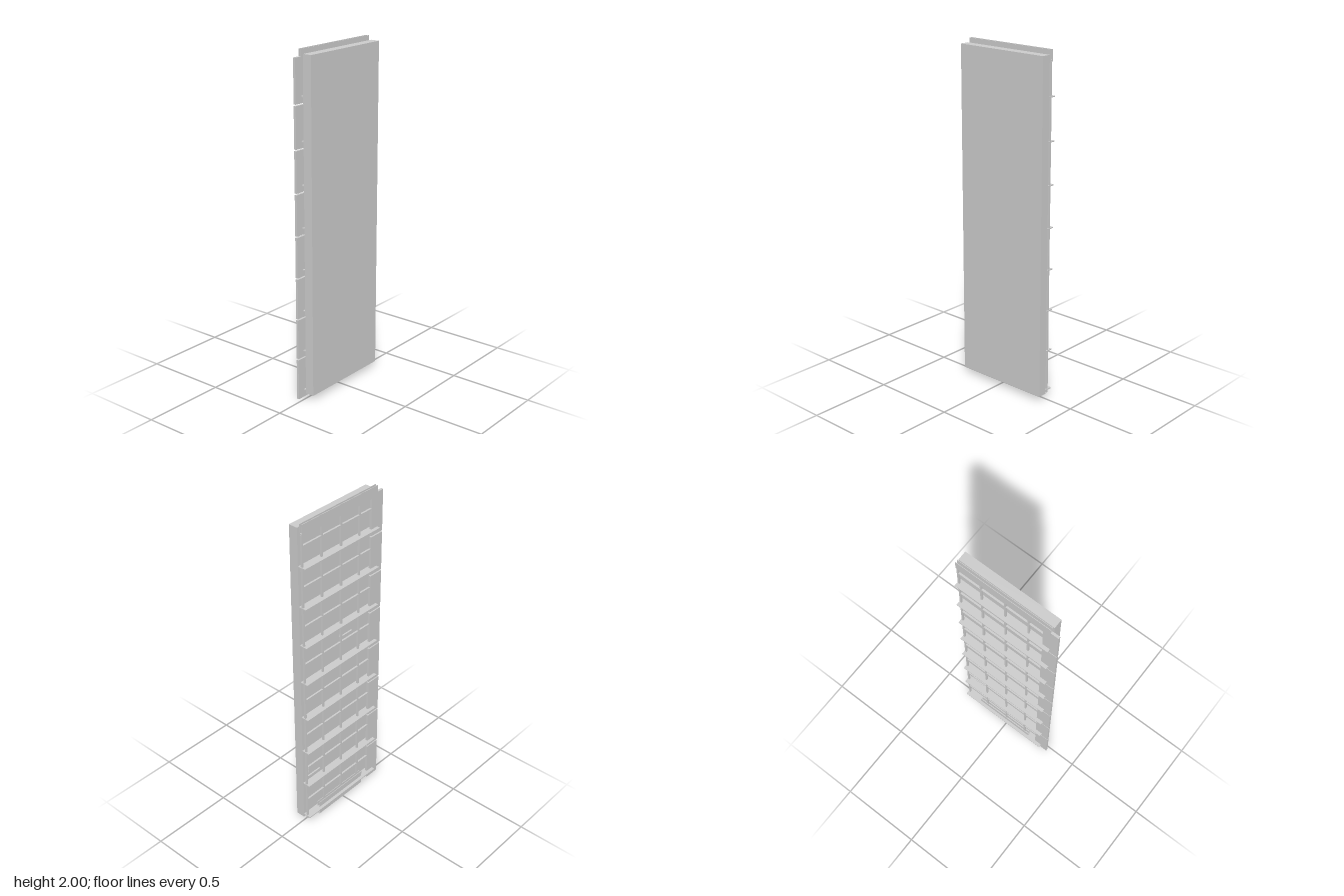
import * as THREE from 'three';

const material = new THREE.MeshStandardMaterial({ color: 0xcccccc, side: THREE.DoubleSide });

// Box given by its limits on each axis
function block(parent, name, [x0, x1], [y0, y1], [z0, z1]) {
  const mesh = new THREE.Mesh(new THREE.BoxGeometry(x1 - x0, y1 - y0, z1 - z0), material);
  mesh.position.set((x0 + x1) / 2, (y0 + y1) / 2, (z0 + z1) / 2);
  mesh.name = name;
  parent.add(mesh);
  return mesh;
}

// Channel with two walls and a floor, open at the top
function channel(parent, name, [x0, x1], [y0, y1], [z0, z1], wall = 0.003) {
  const s = new THREE.Shape();
  [[z0, y0], [z1, y0], [z1, y1], [z1 - wall, y1], [z1 - wall, y0 + wall],
    [z0 + wall, y0 + wall], [z0 + wall, y1], [z0, y1]]
    .forEach(([z, y], i) => (i ? s.lineTo(-z, y) : s.moveTo(-z, y)));
  const geo = new THREE.ExtrudeGeometry(s, { depth: x1 - x0, bevelEnabled: false });
  geo.rotateY(Math.PI / 2).translate(x0, 0, 0);
  const mesh = new THREE.Mesh(geo, material);
  mesh.name = name;
  parent.add(mesh);
}

// Small trapezoid plate with a lip along its lower edge
function hook(parent, x, y) {
  const g = new THREE.Group();
  g.name = 'hook';
  const s = new THREE.Shape();
  s.moveTo(-0.05, 0);
  s.lineTo(0.05, 0);
  s.lineTo(0.035, 0.055);
  s.lineTo(-0.035, 0.055);
  s.closePath();
  const plate = new THREE.Mesh(new THREE.ExtrudeGeometry(s, { depth: 0.003, bevelEnabled: false }), material);
  plate.position.z = -0.006;
  plate.name = 'hookPlate';
  g.add(plate);
  block(g, 'hookLip', [-0.05, 0.05], [0, 0.003], [-0.015, -0.003]);
  g.position.set(x, y, 0);
  parent.add(g);
}

export function createModel() {
  const model = new THREE.Group();
  model.name = 'panelWithBackFrame';
  const step = 0.2429;
  const depth = [-0.031, -0.017];

  // Thick front slab
  block(model, 'frontSlab', [-0.27, 0.315], [0.03, 1.975], [-0.003, 0.0515]);

  const frame = new THREE.Group();
  frame.name = 'backFrame';
  model.add(frame);

  // Upright bars
  for (const x of [0.305, 0.16, 0.01, -0.135]) {
    block(frame, 'uprightBar', [x - 0.005, x + 0.005], [0.03, 1.945], [-0.029, -0.018]);
  }

  for (let i = 0; i < 8; i++) {
    // Deep horizontal fins
    const y = 0.05 + i * step;
    block(frame, 'fin', [-0.272, 0.314], [y - 0.003, y + 0.003], [-0.0515, -0.003]);
    // Slim cross bars halfway between the fins
    block(frame, 'crossBar', [-0.225, 0.31], [y + 0.117, y + 0.127], [-0.029, -0.018]);
    // Side flange, split into equal pieces
    const y0 = 0.005 + i * step + (i ? 0.008 : 0);
    const y1 = 0.005 + (i + 1) * step + (i === 7 ? 0.012 : 0);
    block(frame, 'sideFlange', [-0.315, -0.225], [y0, y1], depth);
  }

  // Top rail and bottom bracket
  channel(frame, 'topRail', [-0.27, 0.311], [1.935, 2], [-0.033, -0.015]);
  channel(frame, 'bottomBracket', [-0.17, 0.21], [0, 0.088], [-0.033, -0.015]);

  // Hooks on the back of the slab
  hook(model, -0.045, 1.165);
  hook(model, 0.23, 0.33);

  return model;
}
